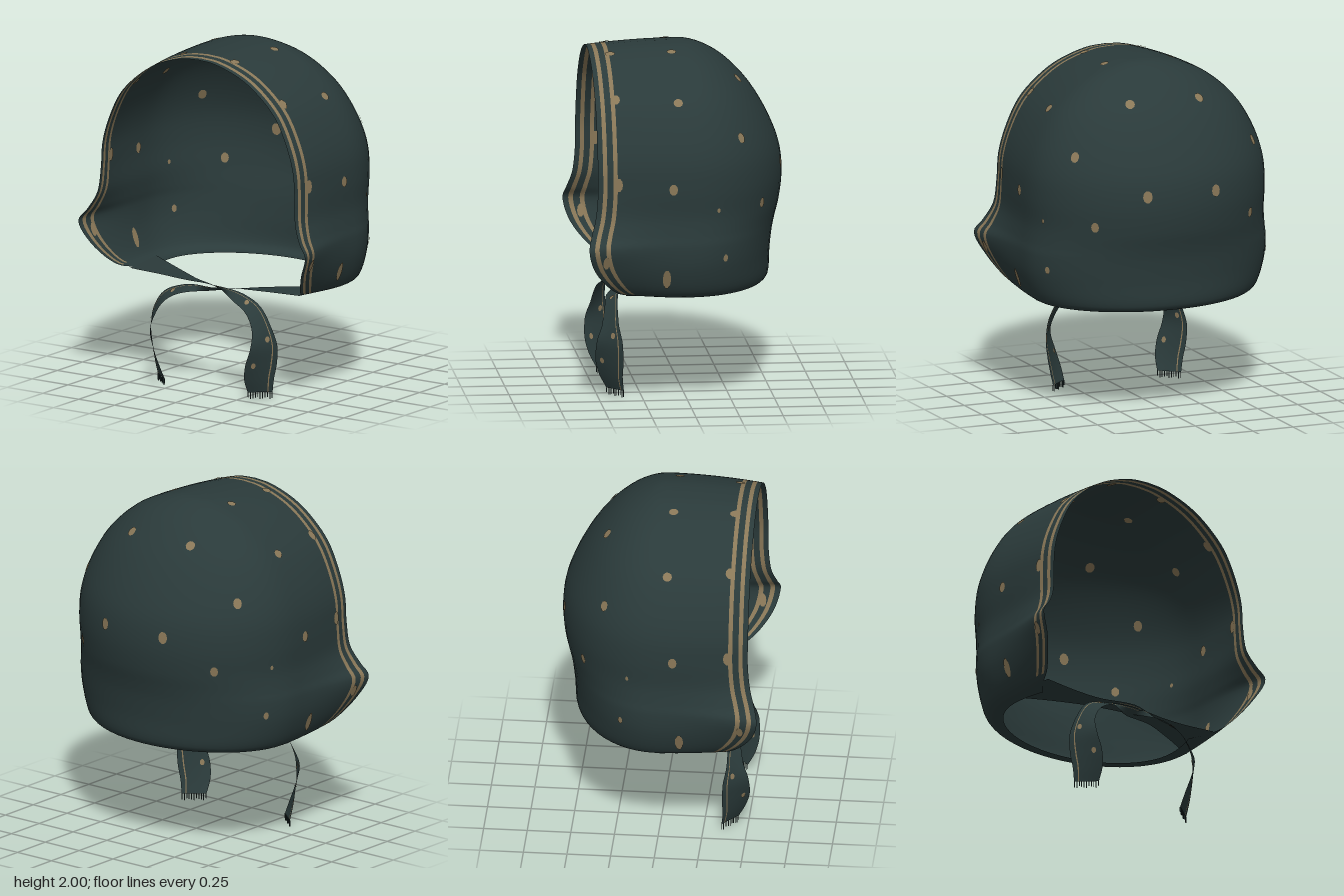
import * as THREE from 'three';
import { mergeVertices } from 'three/addons/utils/BufferGeometryUtils.js';

const cloth = new THREE.MeshStandardMaterial({ name: 'dark cloth', color: 0x2a3a3a, side: THREE.DoubleSide });
const gold = new THREE.MeshStandardMaterial({ name: 'old gold', color: 0x8a7858, side: THREE.DoubleSide });

const spline = (rows) => new THREE.CatmullRomCurve3(rows.map((r) => new THREE.Vector3(...r)));

// Hood profile from crown to hem: [half width, height, depth]
const middle = spline([
  [0, 2, 0], [0.12, 1.99, 0.08], [0.31, 1.93, 0.21], [0.44, 1.85, 0.31], [0.57, 1.72, 0.42],
  [0.665, 1.55, 0.515], [0.71, 1.4, 0.57], [0.72, 1.25, 0.585], [0.715, 1.1, 0.57], [0.725, 1.0, 0.545],
  [0.735, 0.93, 0.53], [0.725, 0.8, 0.515], [0.675, 0.66, 0.505], [0.63, 0.625, 0.475], [0.56, 0.62, 0.41],
]);
const brim = spline([
  [0, 1.97, 0.53], [0.115, 1.96, 0.53], [0.295, 1.9, 0.53], [0.42, 1.82, 0.53], [0.54, 1.7, 0.53],
  [0.625, 1.53, 0.53], [0.665, 1.39, 0.53], [0.675, 1.25, 0.53], [0.69, 1.1, 0.545], [0.74, 1.0, 0.575],
  [0.79, 0.93, 0.59], [0.735, 0.8, 0.55], [0.64, 0.66, 0.42], [0.58, 0.63, 0.3], [0.52, 0.62, 0.22],
]);

// u: 0 left brim, 1 left side, 2 back, 3 right side, 4 right brim; v: 0 crown, 1 hem
function hoodPoint(u, v) {
  const side = u > 2 ? -1 : 1;
  const k = u > 2 ? 4 - u : u;
  const m = middle.getPoint(v);
  if (k >= 1) {
    const a = (k - 1) * Math.PI / 2;
    return new THREE.Vector3(side * m.x * Math.cos(a), m.y, -m.z * Math.sin(a));
  }
  const f = brim.getPoint(v), s = 1 - k, e = s * s;
  return new THREE.Vector3(side * (m.x + (f.x - m.x) * e), m.y + (f.y - m.y) * e, f.z * s);
}

// Smooth sheet through point(u, v), with accented cells in the second material
function sheet(name, point, us, vs, accent) {
  const pos = [], plain = [], marked = [], n = us.length;
  for (const v of vs) for (const u of us) pos.push(...point(u, v).toArray());
  for (let i = 0; i < vs.length - 1; i++) {
    for (let j = 0; j < n - 1; j++) {
      const a = i * n + j;
      (accent((us[j] + us[j + 1]) / 2, vs[i]) ? marked : plain).push(a, a + n, a + 1, a + 1, a + n, a + n + 1);
    }
  }
  let g = new THREE.BufferGeometry();
  g.setAttribute('position', new THREE.Float32BufferAttribute(pos, 3));
  g.setIndex([...plain, ...marked]);
  g.addGroup(0, plain.length, 0);
  g.addGroup(plain.length, marked.length, 1);
  g = mergeVertices(g);
  g.computeVertexNormals();
  const mesh = new THREE.Mesh(g, [cloth, gold]);
  mesh.name = name;
  return mesh;
}

const steps = (n) => Array.from({ length: n + 1 }, (_, i) => i / n);

// Thin oval spot on both faces of a sheet
function addSpot(parent, point, u, v, rx, ry) {
  const d = 0.005, p = point(u, v);
  const du = point(u + d, v).sub(point(u - d, v));
  const dv = point(u, v + d).sub(point(u, v - d));
  const normal = dv.cross(du).normalize();
  for (const s of [1, -1]) {
    const spot = new THREE.Mesh(new THREE.CircleGeometry(1, 10), gold);
    spot.name = 'spot';
    spot.scale.set(rx, ry, 1);
    spot.position.copy(p).addScaledVector(normal, s * 0.005);
    spot.lookAt(p.clone().addScaledVector(normal, s));
    parent.add(spot);
  }
}

// Profile parameter at a given height
function atHeight(y) {
  let lo = 0, hi = 1;
  for (let i = 0; i < 30; i++) {
    const mid = (lo + hi) / 2;
    if (middle.getPoint(mid).y > y) lo = mid; else hi = mid;
  }
  return lo;
}

function buildHood() {
  const hood = new THREE.Group();
  hood.name = 'hood';
  const half = [0, 0.055, 0.1, 0.165, 0.21, 0.35, 0.5, 0.65, 0.8, 0.9, 1];
  for (let i = 1; i <= 14; i++) half.push(1 + i / 14);
  const us = [...half, ...half.slice(0, -1).reverse().map((u) => 4 - u)];
  // Two stripes run along the brim
  const striped = (u, v) => {
    const k = Math.min(u, 4 - u);
    return v < 0.87 && ((k > 0.055 && k < 0.1) || (k > 0.165 && k < 0.21));
  };
  hood.add(sheet('hoodShell', hoodPoint, us, steps(70), striped));
  // Spots: [u, height, half width, half height]
  const spots = [
    [1.81, 1.32, 0.028, 0.036], [1.71, 1.81, 0.028, 0.03], [1.39, 1.53, 0.025, 0.032], [1.53, 1.14, 0.023, 0.03],
    [0.88, 1.968, 0.027, 0.025], [0.89, 1.74, 0.027, 0.027], [0.81, 1.27, 0.025, 0.032], [0.73, 0.75, 0.024, 0.06],
    [0.22, 1.975, 0.03, 0.025], [0.22, 1.77, 0.025, 0.032], [0.22, 1.3, 0.024, 0.04], [0.15, 0.86, 0.02, 0.04],
    [1.25, 0.86, 0.016, 0.022], [1.18, 1.14, 0.01, 0.014],
  ];
  for (const [u, y, rx, ry] of spots) {
    const v = atHeight(y);
    addSpot(hood, hoodPoint, u, v, rx, ry);
    addSpot(hood, hoodPoint, 4 - u, v, rx, ry);
  }
  return hood;
}

// Tie: from one hem corner, across the chin, hanging on the other side
function buildTie(side) {
  const tie = new THREE.Group();
  tie.name = side > 0 ? 'leftTie' : 'rightTie';
  const centre = spline([
    [-0.62, 0.632, 0.19], [-0.4, 0.622, 0.25], [-0.2, 0.612, 0.31], [0, 0.6 + side * 0.008, 0.36],
    [0.19, 0.575, 0.4], [0.31, 0.52, 0.42], [0.375, 0.42, 0.43], [0.395, 0.32, 0.435],
    [0.375, 0.21, 0.435], [0.355, 0.12, 0.425], [0.345, 0.04, 0.4],
  ]);
  const reach = spline([
    [0.03, 0, 0.17], [0.02, 0, 0.1], [0, 0.005, 0.05], [0, 0.015, 0.035],
    [0.01, 0.018, -0.035], [0.025, 0.02, -0.035], [0.035, 0.01, -0.045], [0.045, 0, -0.07],
    [0.058, 0, -0.075], [0.06, 0, -0.062], [0.055, 0, -0.045],
  ]);
  const point = (u, v) => {
    const p = centre.getPoint(v).addScaledVector(reach.getPoint(v), u);
    p.x *= side;
    return p;
  };
  tie.add(sheet('tieRibbon', point, [-1, -0.5, 0, 0.5, 0.6, 0.68, 1], steps(50),
    (u, v) => u > 0.6 && u < 0.68 && v > 0.25));
  for (const [u, v] of [[0.1, 0.45], [0.3, 0.66], [-0.5, 0.8]]) addSpot(tie, point, u, v, 0.014, 0.018);
  // Loose threads at the cut end
  for (let i = 0; i < 11; i++) {
    const length = 0.028 + 0.012 * ((i * 7) % 4) / 3;
    const thread = new THREE.Mesh(new THREE.BoxGeometry(0.004, length, 0.004), cloth);
    thread.name = 'fringeThread';
    thread.position.copy(point(-0.97 + i * 0.194, 1));
    thread.position.y -= length / 2;
    tie.add(thread);
  }
  return tie;
}

export function createModel() {
  const model = new THREE.Group();
  model.name = 'bonnet';
  model.add(buildHood(), buildTie(1), buildTie(-1));
  return model;
}
